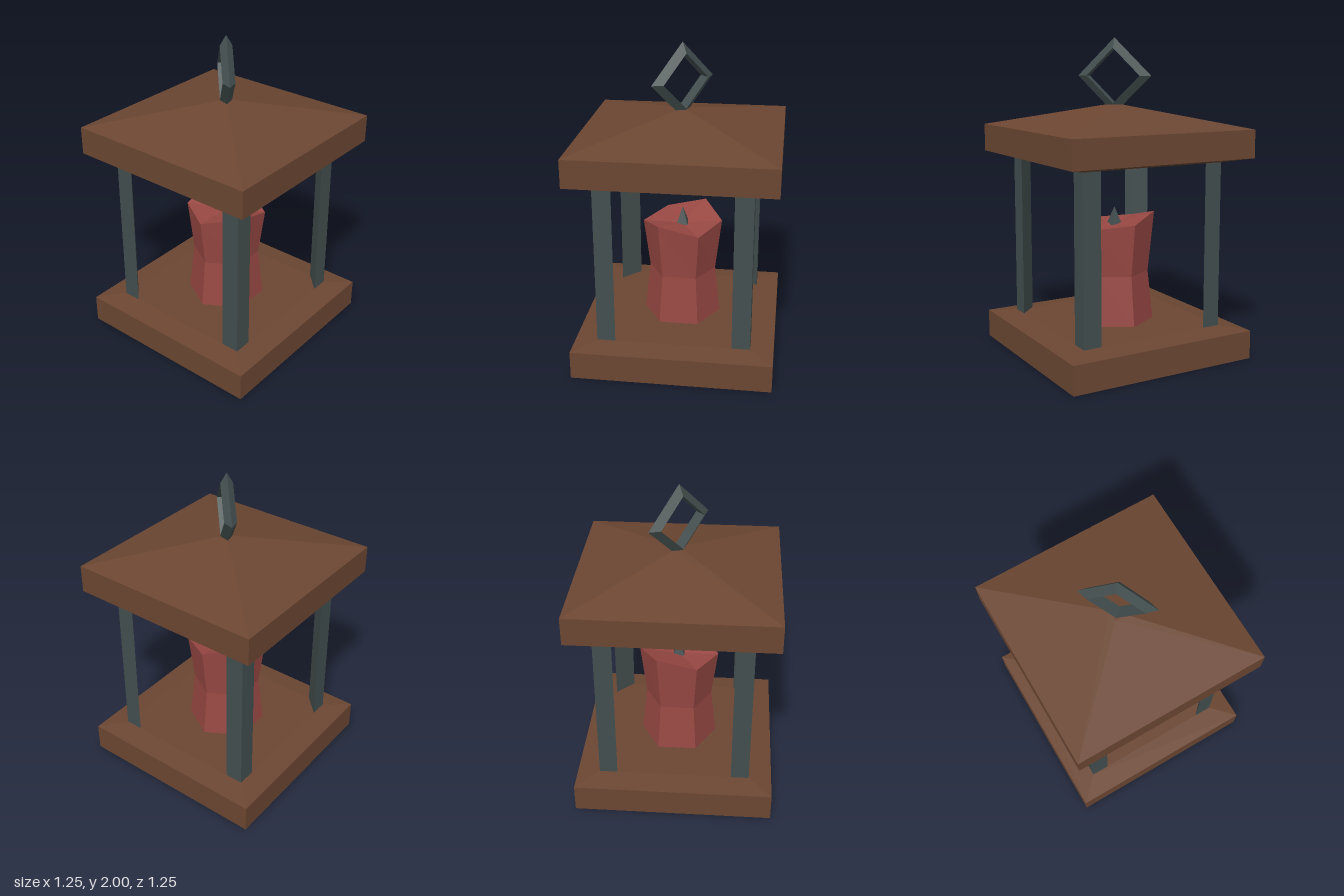
import * as THREE from 'three';

const flat = (color) => new THREE.MeshStandardMaterial({ color, flatShading: true });

export function createModel() {
  const group = new THREE.Group();
  const wood = flat(0x6b4632), iron = flat(0x434e4e), wax = flat(0x984843);

  const add = (name, geometry, material) => {
    const mesh = new THREE.Mesh(geometry, material);
    mesh.name = name;
    group.add(mesh);
    return mesh;
  };
  // Solid turned with few sides from [radius, y] pairs, bottom to top
  const turned = (pairs, sides) =>
    new THREE.LatheGeometry(pairs.map(([r, y]) => new THREE.Vector2(r, y)), sides);
  // Square slab from [halfWidth, y] pairs
  const slab = (pairs) =>
    turned(pairs.map(([h, y]) => [h * Math.SQRT2, y]), 4).rotateY(Math.PI / 4);

  // Base with a shallow bevel, and pyramid roof with a bevelled underside
  add('base', slab([[0, 0], [0.625, 0], [0.625, 0.18], [0.48, 0.2], [0, 0.2]]), wood);
  add('roof', slab([[0, 1.24], [0.48, 1.24], [0.625, 1.27], [0.625, 1.445],
    [0.035, 1.585], [0, 1.585]]), wood);

  // Triangular corner posts, right angle outwards
  const corner = new THREE.Shape([
    new THREE.Vector2(0.48, 0.48),
    new THREE.Vector2(0.365, 0.48),
    new THREE.Vector2(0.48, 0.365),
  ]);
  const postGeometry = new THREE.ExtrudeGeometry(corner, { depth: 1.06, bevelEnabled: false });
  postGeometry.rotateX(-Math.PI / 2).translate(0, 0.19, 0);
  for (let i = 0; i < 4; i++) add('post', postGeometry, iron).rotation.y = i * Math.PI / 2;

  // Six-sided candle with a waist, an uneven rim and a sunken top
  const profile = [[0, 0.19], [0.25, 0.19], [0.215, 0.515], [0.255, 0.85], [0, 0.82]];
  const rim = [0.825, 0.88, 0.82, 0.85, 0.905, 0.845];
  const candle = turned(profile, 6);
  for (let i = 0; i <= 6; i++) {
    candle.attributes.position.setY(i * profile.length + 3, rim[i % 6]);
  }
  add('candle', candle, wax);

  // Pointed wick
  const wick = new THREE.ConeGeometry(0.055, 0.125, 4);
  wick.rotateY(Math.PI / 4).translate(0, 0.8725, 0);
  add('wick', wick, iron);

  // Diamond hanging ring with a triangular section, set on the diagonal
  const ring = add('hangingRing', new THREE.TorusGeometry(0.1925, 0.0435, 3, 4), iron);
  ring.position.y = 1.764;
  ring.rotation.y = -Math.PI / 4;

  return group;
}
